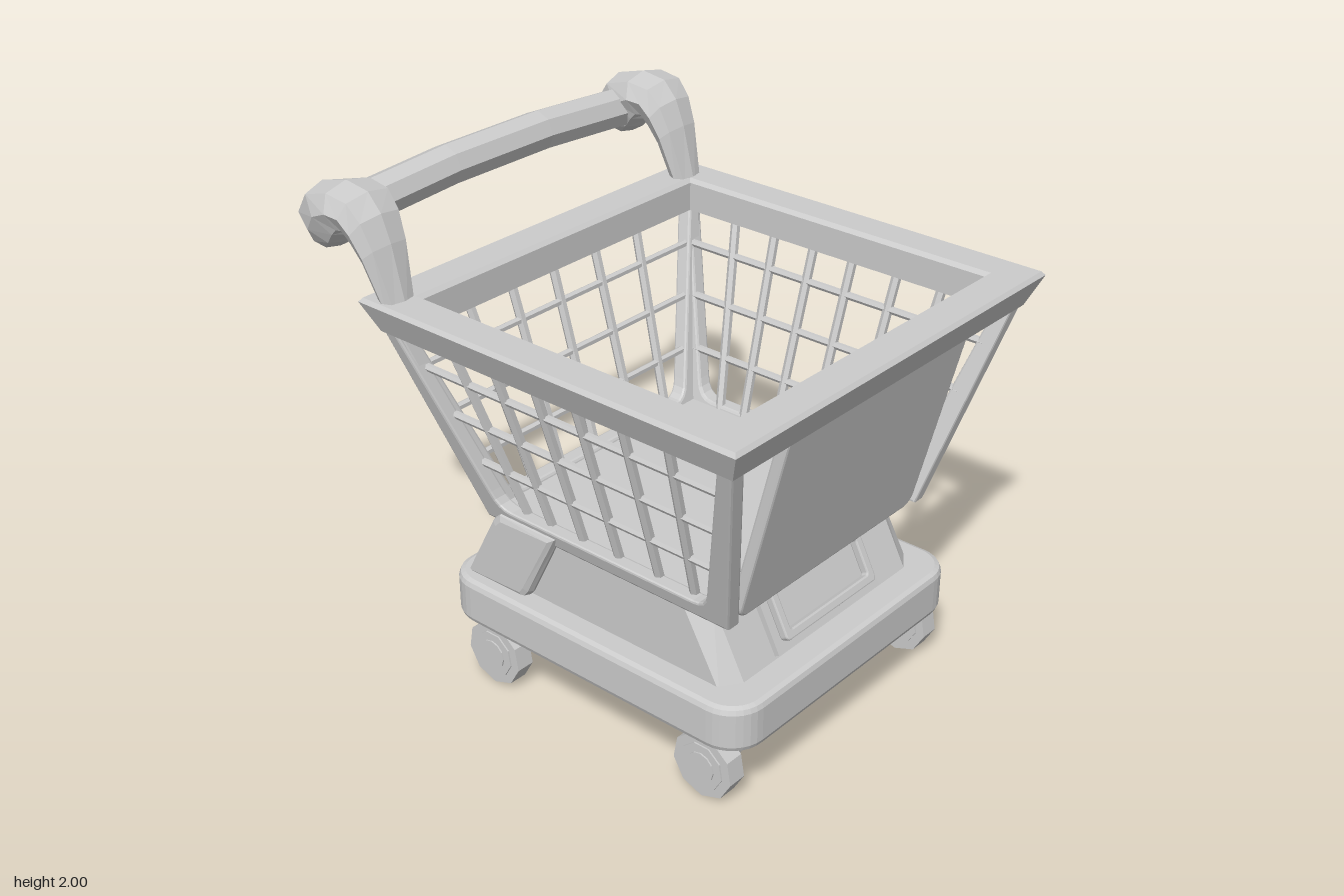
import * as THREE from 'three';

const grey = new THREE.MeshStandardMaterial({ color: 0xcccccc, flatShading: true });

function add(parent, name, geometry) {
  const mesh = new THREE.Mesh(geometry, grey);
  mesh.name = name;
  parent.add(mesh);
  return mesh;
}

const V = (x, y, z) => new THREE.Vector3(x, y, z);
const shapeOf = pts => new THREE.Shape(pts.map(([x, y]) => new THREE.Vector2(x, y)));

// Skin through closed rings that all have the same number of points
function loft(rings, capped) {
  if (capped) {
    const centre = r => {
      const c = r.reduce((s, p) => s.add(p), V(0, 0, 0)).divideScalar(r.length);
      return r.map(() => c);
    };
    rings = [centre(rings[0]), ...rings, centre(rings[rings.length - 1])];
  }
  const n = rings[0].length, index = [];
  for (let i = 0; i < rings.length - 1; i++) {
    for (let j = 0; j < n; j++) {
      const a = i * n + j, b = i * n + (j + 1) % n;
      index.push(a, b, b + n, a, b + n, a + n);
    }
  }
  const g = new THREE.BufferGeometry().setFromPoints(rings.flat());
  g.setIndex(index);
  g.computeVertexNormals();
  return g;
}

// Horizontal rectangles, plain and with chamfered corners
const rectRing = (y, x0, x1, z0, z1) => [V(x0, y, z1), V(x1, y, z1), V(x1, y, z0), V(x0, y, z0)];
const chamferRing = (y, x0, x1, z0, z1, cx, cz) => [
  [x0 + cx, z1], [x1 - cx, z1], [x1, z1 - cz], [x1, z0 + cz],
  [x1 - cx, z0], [x0 + cx, z0], [x0, z0 + cz], [x0, z1 - cz]].map(([x, z]) => V(x, y, z));

function roundedRect(x0, x1, y0, y1, r) {
  const s = new THREE.Shape();
  s.absarc(x1 - r, y1 - r, r, 0, Math.PI / 2);
  s.absarc(x0 + r, y1 - r, r, Math.PI / 2, Math.PI);
  s.absarc(x0 + r, y0 + r, r, Math.PI, Math.PI * 1.5);
  s.absarc(x1 - r, y0 + r, r, Math.PI * 1.5, Math.PI * 2);
  return s;
}

function extrude(shape, depth, bevel = 0) {
  const g = new THREE.ExtrudeGeometry(shape, {
    depth: depth - 2 * bevel, bevelEnabled: bevel > 0, bevelSize: bevel, bevelOffset: -bevel,
    bevelThickness: bevel, bevelSegments: 2, curveSegments: 4 });
  return g.translate(0, 0, bevel);
}

// Lean a geometry outwards along one axis as it rises from the basket floor
function lean(g, axis, slope) {
  const p = g.attributes.position, k = axis === 'x' ? 0 : 2;
  for (let i = 0; i < p.count; i++) p.setComponent(i, k, p.getComponent(i, k) + slope * (p.getY(i) - 0.72));
  g.computeVertexNormals();
  return g;
}

// Tapered side frame with a round-cornered window; its top bar sits inside the rim
function frameShape(t0, t1, b0, b1) {
  const s = shapeOf([[t0, 1.56], [b0, 0.72], [b1, 0.72], [t1, 1.56]]);
  const w = 0.075, k = 0.06;
  const hole = new THREE.Path();
  hole.moveTo(t0 + w, 1.51);
  hole.lineTo(t1 - w, 1.51);
  hole.lineTo(b1 - k, 0.86);
  hole.quadraticCurveTo(b1 - k - 0.02, 0.79, b1 - k - 0.08, 0.79);
  hole.lineTo(b0 + k + 0.08, 0.79);
  hole.quadraticCurveTo(b0 + k + 0.02, 0.79, b0 + k, 0.86);
  s.holes.push(hole);
  return s;
}

function rod(parent, name, r, a, b) {
  const m = add(parent, name, new THREE.CylinderGeometry(r, r, a.distanceTo(b), 6));
  m.position.copy(a).add(b).multiplyScalar(0.5);
  m.quaternion.setFromUnitVectors(V(0, 1, 0), b.clone().sub(a).normalize());
}

export function createModel() {
  const cart = new THREE.Group();
  cart.name = 'shoppingCart';
  const basket = new THREE.Group();
  basket.name = 'basket';
  cart.add(basket);

  // Rim: a square ring with bevelled edges
  const rimProfile = [[0.05, 1.49], [0, 1.605], [0.012, 1.62], [0.14, 1.62], [0.155, 1.605], [0.155, 1.49], [0.05, 1.49]];
  add(basket, 'rim', loft(rimProfile.map(([d, y]) => rectRing(y, -0.685 + d, 0.995 - d, -0.893 + d, 0.853 - d))));

  // Side frames on the front, back and handle end
  const side = frameShape(-0.645, 0.955, -0.4, 0.74);
  add(basket, 'frontFrame', lean(extrude(side, 0.065, 0.01).translate(0, 0, 0.495), 'z', 0.31));
  add(basket, 'backFrame', lean(extrude(side, 0.065, 0.01).translate(0, 0, -0.6), 'z', -0.31));
  const end = frameShape(-0.85, 0.81, -0.59, 0.55);
  add(basket, 'handleEndFrame', lean(extrude(end, 0.065, 0.01).rotateY(-Math.PI / 2).translate(-0.335, 0, 0), 'x', -0.285));

  // Solid panel on the far end, and the floor
  const panel = extrude(roundedRect(-0.49, 0.53, 0.72, 1.5, 0.05), 0.05, 0.01).rotateY(Math.PI / 2);
  add(basket, 'endPanel', lean(panel.translate(0.68, 0, 0), 'x', 0.25));
  add(basket, 'floor', new THREE.BoxGeometry(1.08, 0.05, 1.1)).position.set(0.16, 0.75, -0.02);

  // Wire grid
  const topX = [-0.34, -0.14, 0.05, 0.235, 0.44, 0.64], lowX = [-0.22, -0.1, 0.055, 0.225, 0.41, 0.57];
  const topZ = [-0.47, -0.23, 0, 0.22, 0.44], lowZ = [-0.41, -0.22, 0, 0.19, 0.34];
  const gridZ = (s, y) => -0.02 + s * (0.545 + 0.31 * (y - 0.77));
  const gridX = y => -0.375 - 0.285 * (y - 0.77);
  const upright = (a, b) => rod(basket, 'uprightWire', 0.019, a, b);
  const cross = (a, b) => rod(basket, 'crossWire', 0.015, a, b);
  for (const s of [1, -1]) {
    topX.forEach((x, i) => upright(V(lowX[i], 0.77, gridZ(s, 0.77)), V(x, 1.52, gridZ(s, 1.52))));
  }
  topZ.forEach((z, i) => upright(V(gridX(0.77), 0.77, lowZ[i]), V(gridX(1.52), 1.52, z)));
  for (const y of [0.965, 1.16, 1.35]) {
    for (const s of [1, -1]) cross(V(gridX(y), y, gridZ(s, y)), V(0.71 + 0.25 * (y - 0.77), y, gridZ(s, y)));
    cross(V(gridX(y), y, gridZ(-1, y)), V(gridX(y), y, gridZ(1, y)));
  }

  // Handle arms, boxy in section: outer x, y, inner x, y, half width
  const arm = [
    [-0.53, 1.58, -0.615, 1.58, 0.06], [-0.59, 1.82, -0.67, 1.745, 0.1], [-0.63, 1.92, -0.71, 1.805, 0.115],
    [-0.69, 1.985, -0.738, 1.84, 0.125], [-0.8, 2.0, -0.752, 1.835, 0.13], [-0.93, 1.965, -0.765, 1.81, 0.125],
    [-1.0, 1.87, -0.805, 1.77, 0.105], [-0.975, 1.785, -0.86, 1.738, 0.07]];
  const circle = (n, f) => Array.from({ length: n }, (_, i) => f(Math.cos(i * 2 * Math.PI / n), Math.sin(i * 2 * Math.PI / n)));
  const square = t => Math.sign(t) * Math.abs(t) ** 0.8;
  for (const z of [0.767, -0.767]) {
    add(cart, 'handleArm', loft(arm.map(([px, py, qx, qy, w]) => circle(8, (c, s) =>
      V((px + qx + (px - qx) * square(c)) / 2, (py + qy + (py - qy) * square(c)) / 2, z - w * square(s)))), true));
  }
  // Grip, bowed slightly upwards
  add(cart, 'handleGrip', loft([-0.72, -0.24, 0.24, 0.72].map(z => circle(8, (c, s) =>
    V(-0.87 + 0.08 * c, (Math.abs(z) > 0.5 ? 1.85 : 1.88) + 0.08 * s, z))), true));

  // Base slab
  const slab = extrude(roundedRect(-0.565, 0.865, -0.652, 0.662, 0.14), 0.185, 0.025);
  add(cart, 'base', slab.rotateX(-Math.PI / 2).translate(0, 0.275, 0));

  // Tapered pedestal and the slanted block under the handle end
  add(cart, 'pedestal', loft([
    chamferRing(0.44, -0.42, 0.755, -0.57, 0.55, 0.055, 0.08),
    chamferRing(0.73, -0.25, 0.6, -0.57, 0.55, 0.065, 0.08)], true));
  const block = shapeOf([[-0.51, 0.44], [-0.21, 0.44], [-0.18, 0.48], [-0.035, 0.77], [-0.32, 0.77], [-0.36, 0.73]]);
  add(cart, 'slantedBlock', extrude(block, 1.2, 0.03).translate(0, 0, -0.61));

  // Framed plate on the sloping end
  const plate = new THREE.Group();
  plate.name = 'framedPlate';
  plate.position.set(0.675, 0.595, -0.01);
  plate.rotation.z = 0.48;
  cart.add(plate);
  add(plate, 'plate', new THREE.BoxGeometry(0.04, 0.28, 0.6));
  const border = roundedRect(-0.265, 0.265, -0.105, 0.105, 0.02);
  border.holes.push(roundedRect(-0.23, 0.23, -0.07, 0.07, 0.01));
  add(plate, 'plateFrame', extrude(border, 0.035, 0.006).rotateY(Math.PI / 2).translate(0.018, 0, 0));

  // Casters
  const fork = new THREE.Shape();
  fork.moveTo(0.085, 0.3);
  fork.lineTo(-0.085, 0.3);
  fork.lineTo(-0.085, 0.195);
  fork.absarc(0, 0.195, 0.085, Math.PI, Math.PI * 2);
  for (const x of [-0.37, 0.664]) {
    for (const s of [1, -1]) {
      const caster = new THREE.Group();
      caster.name = 'caster';
      caster.position.set(x, 0, -0.035 + s * 0.593);
      cart.add(caster);
      const disc = (name, r, w, n) => add(caster, name, new THREE.CylinderGeometry(r, r, w, n).rotateX(Math.PI / 2)).position.setY(0.132);
      disc('wheel', 0.132, 0.076, 9);
      disc('hubRing', 0.095, 0.088, 9);
      disc('hub', 0.06, 0.1, 12);
      add(caster, 'fork', extrude(fork, 0.06).translate(0, 0, s > 0 ? -0.085 : 0.025));
    }
  }
  return cart;
}
